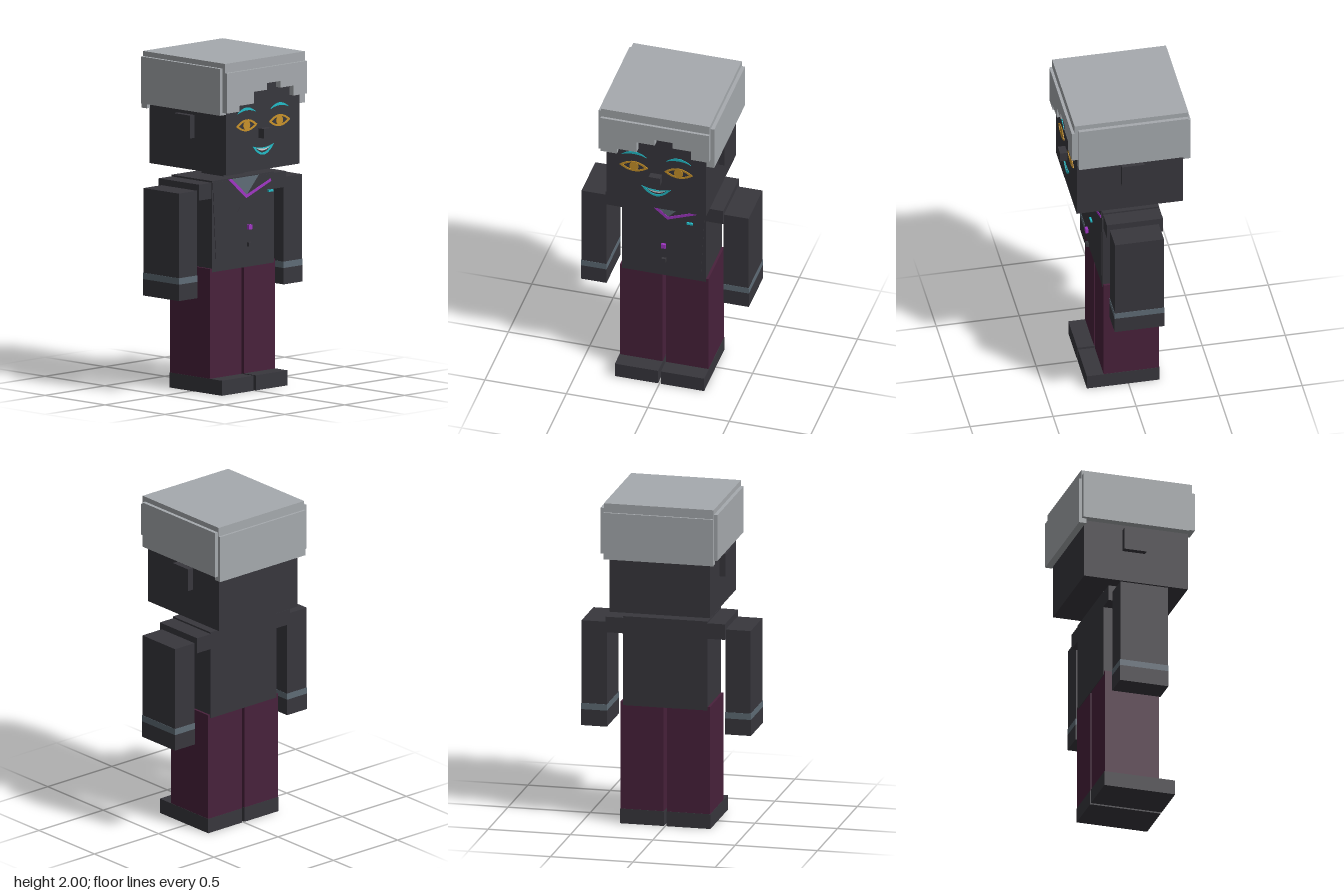
import * as THREE from 'three';

const mat = (name, color) => {
  const m = new THREE.MeshStandardMaterial({ color });
  m.name = name;
  return m;
};

export function createModel() {
  const charcoal = mat('charcoal', 0x38373d);
  const silver = mat('silver hair', 0xa6aaae);
  const plum = mat('plum trousers', 0x48213b);
  const slate = mat('slate cloth', 0x5f6c76);
  const purple = mat('purple trim', 0xa036c4);
  const teal = mat('teal paint', 0x22bcc8);
  const gold = mat('gold paint', 0xc8922a);
  const white = mat('tooth white', 0xd8d4d8);

  const model = new THREE.Group();
  model.name = 'blockFigure';

  // Box given by its limits on each axis
  const box = (name, m, [x0, x1], [y0, y1], [z0, z1]) => {
    const mesh = new THREE.Mesh(new THREE.BoxGeometry(x1 - x0, y1 - y0, z1 - z0), m);
    mesh.position.set((x0 + x1) / 2, (y0 + y1) / 2, (z0 + z1) / 2);
    mesh.name = name;
    model.add(mesh);
  };
  // Thin plate facing the front
  const plate = (name, m, shape, z, depth = 0.004) => {
    const geo = new THREE.ExtrudeGeometry(shape, { depth, bevelEnabled: false, curveSegments: 10 });
    const mesh = new THREE.Mesh(geo, m);
    mesh.position.z = z;
    mesh.name = name;
    model.add(mesh);
  };
  const poly = (pts) => new THREE.Shape(pts.map(([x, y]) => new THREE.Vector2(x, y)));
  // Lens or crescent between two arcs sharing their end points
  const lens = (x0, x1, y, top, bottom, Type = THREE.Shape) => {
    const s = new Type();
    const c = (x0 + x1) / 2;
    s.moveTo(x0, y);
    s.quadraticCurveTo(c, 2 * bottom - y, x1, y);
    s.quadraticCurveTo(c, 2 * top - y, x0, y);
    return s;
  };

  // Head, neck and nose
  box('head', charcoal, [-0.306, 0.306], [1.33, 1.95], [-0.323, 0.318]);
  box('neck', charcoal, [-0.085, 0.085], [1.26, 1.34], [-0.11, 0.074]);
  box('nose', charcoal, [-0.035, 0.034], [1.523, 1.58], [0.31, 0.362]);

  // Hair: cap, back, sides and stepped fringe
  box('hairCap', silver, [-0.333, 0.333], [1.94, 2.0], [-0.35, 0.336]);
  box('hairBack', silver, [-0.333, 0.333], [1.66, 1.945], [-0.363, -0.318]);
  plate('hairFringe', silver, poly([
    [-0.333, 1.945], [-0.333, 1.705], [-0.232, 1.705], [-0.232, 1.74], [-0.11, 1.74],
    [-0.11, 1.81], [0, 1.81], [0, 1.85], [0.11, 1.85], [0.11, 1.81], [0.222, 1.81],
    [0.222, 1.75], [0.333, 1.75], [0.333, 1.945],
  ]), 0.312, 0.041);

  // Torso and its panels
  box('torso', charcoal, [-0.257, 0.257], [0.725, 1.27], [-0.188, 0.152]);
  plate('vest', charcoal, poly([
    [-0.255, 1.26], [-0.228, 0.8], [0.025, 0.748], [0.228, 0.79], [0.25, 1.22], [0.23, 1.26],
  ]), 0.152, 0.003);
  plate('shirt', slate, poly([[-0.127, 1.265], [0.02, 1.15], [0.127, 1.265]]), 0.154, 0.003);
  plate('collarFold', charcoal, poly([[0.02, 1.155], [0.23, 1.23], [-0.05, 1.06]]), 0.154, 0.002);
  plate('lapelTrim', purple, poly([
    [-0.13, 1.265], [0.022, 1.138], [0.23, 1.217], [0.225, 1.232], [0.026, 1.158], [-0.098, 1.265],
  ]), 0.155);

  // Floating buttons and pin
  box('upperButton', purple, [-0.004, 0.024], [0.957, 0.985], [0.19, 0.207]);
  box('lowerButton', charcoal, [-0.002, 0.024], [0.855, 0.88], [0.187, 0.205]);
  box('pin', teal, [0.155, 0.193], [1.165, 1.177], [0.201, 0.212]);

  // Mouth
  const mouth = lens(-0.09, 0.09, 1.478, 1.462, 1.418);
  mouth.holes.push(lens(-0.066, 0.066, 1.467, 1.455, 1.432, THREE.Path));
  plate('lips', teal, mouth, 0.318);
  plate('teeth', white, lens(-0.058, 0.058, 1.464, 1.456, 1.444), 0.318, 0.003);

  for (const s of [-1, 1]) {
    const side = s > 0 ? 'left' : 'right';
    const span = (a, b) => (s > 0 ? [a, b] : [-b, -a]);

    // Sides of the head
    box(side + 'HairSide', silver, span(0.3, 0.355), [1.69, 1.97], [-0.344, 0.314]);
    box(side + 'Ear', charcoal, span(0.3, 0.342), [1.523, 1.66], [-0.085, 0.053]);

    // Eye and brow
    const cx = 0.137 * s;
    const eye = lens(cx - 0.088, cx + 0.088, 1.608, 1.645, 1.574);
    eye.holes.push(lens(cx - 0.066, cx + 0.066, 1.608, 1.634, 1.585, THREE.Path));
    plate(side + 'EyeRim', gold, eye, 0.318);
    plate(side + 'Iris', gold, new THREE.Shape().absarc(cx, 1.609, 0.028, 0, Math.PI * 2), 0.318);
    plate(side + 'Brow', teal, lens(cx - 0.077, cx + 0.077, 1.683, 1.716, 1.699), 0.318);

    // Shoulder, arm, cuff and hand
    box(side + 'Shoulder', charcoal, span(0.25, 0.362), [1.165, 1.26], [-0.19, 0.148]);
    box(side + 'Arm', charcoal, span(0.36, 0.513), [0.715, 1.222], [-0.165, 0.13]);
    box(side + 'Cuff', slate, span(0.359, 0.515), [0.678, 0.716], [-0.167, 0.132]);
    box(side + 'Hand', charcoal, span(0.359, 0.515), [0.58, 0.678], [-0.167, 0.132]);

    // Leg and shoe
    box(side + 'Leg', plum, span(0.01, 0.272), [0.09, 0.746], [-0.185, 0.149]);
    box(side + 'Shoe', charcoal, span(0.009, 0.274), [0, 0.09], [-0.187, 0.25]);
  }
  return model;
}
